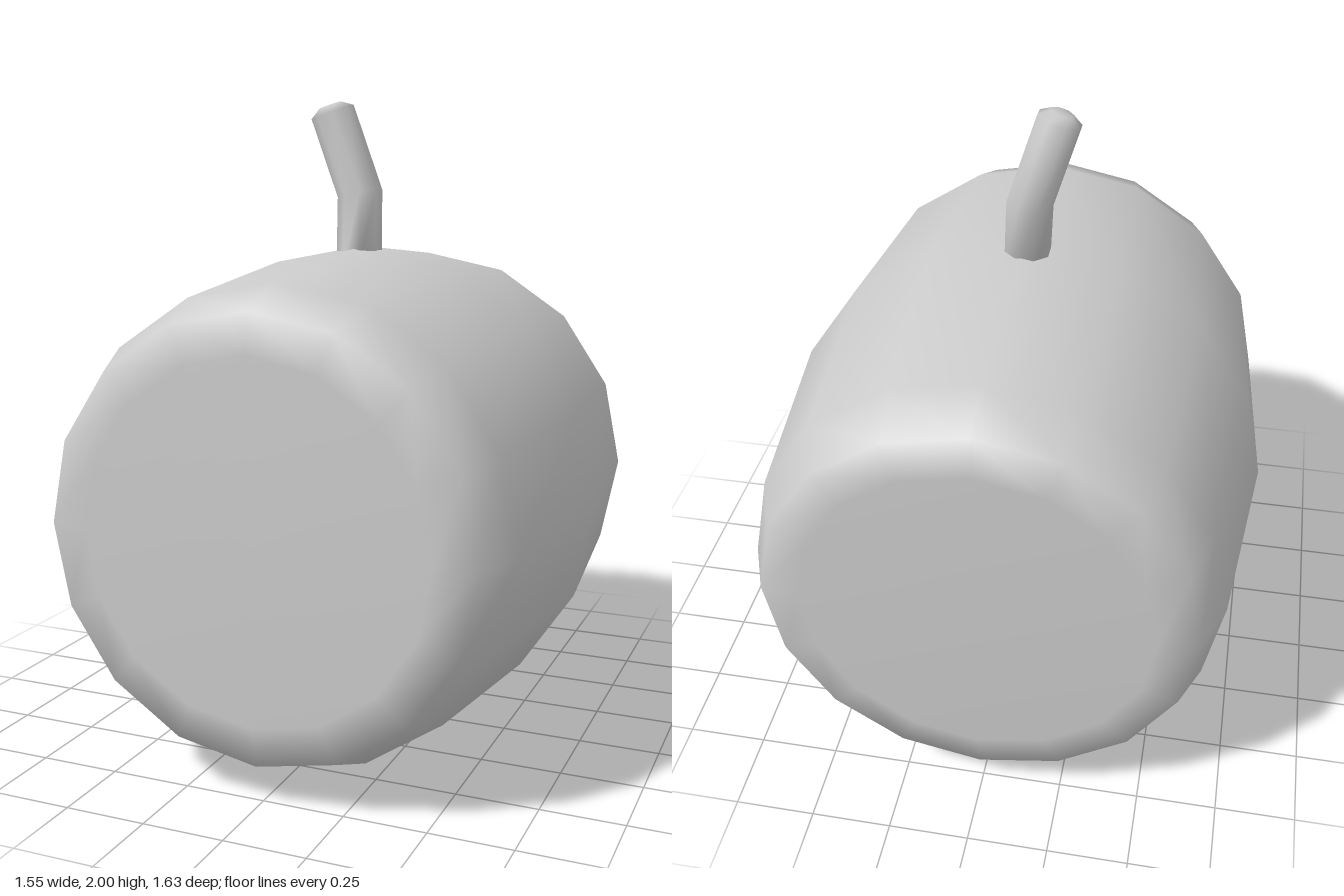
import * as THREE from 'three';

const material = () => new THREE.MeshStandardMaterial({ color: 0xcccccc });

// Tube of rings [x, y, z, radius, tilt direction], closed at both ends
function ringTube(rings, sides) {
  const pos = [], index = [];
  const up = new THREE.Vector3(0, 1, 0);
  const q = new THREE.Quaternion(), v = new THREE.Vector3();
  rings.forEach(({ at, r, dir }) => {
    q.setFromUnitVectors(up, new THREE.Vector3(...dir).normalize());
    for (let i = 0; i < sides; i++) {
      const a = ((i + 0.5) / sides) * Math.PI * 2;
      v.set(Math.sin(a) * r, 0, Math.cos(a) * r).applyQuaternion(q);
      pos.push(at[0] + v.x, at[1] + v.y, at[2] + v.z);
    }
  });
  for (let k = 0; k < rings.length - 1; k++) {
    for (let i = 0; i < sides; i++) {
      const a = k * sides + i, b = k * sides + ((i + 1) % sides);
      index.push(a, b, b + sides, a, b + sides, a + sides);
    }
  }
  // end caps
  const last = (rings.length - 1) * sides;
  for (let i = 1; i < sides - 1; i++) {
    index.push(0, i + 1, i);
    index.push(last, last + i, last + i + 1);
  }
  const g = new THREE.BufferGeometry();
  g.setAttribute('position', new THREE.Float32BufferAttribute(pos, 3));
  g.setIndex(index);
  g.computeVertexNormals();
  return g;
}

export function createModel() {
  const group = new THREE.Group();

  // Barrel-shaped body lying along z, 16 sides with a vertex at the top
  const half = [[0, 0.813], [0.53, 0.813], [0.65, 0.795], [0.713, 0.64]];
  const profile = [
    ...half.map(([r, h]) => new THREE.Vector2(r, -h)),
    new THREE.Vector2(0.775, 0),
    ...half.slice().reverse().map(([r, h]) => new THREE.Vector2(r, h)),
  ];
  const bodyGeometry = new THREE.LatheGeometry(profile, 16);
  bodyGeometry.rotateX(Math.PI / 2);
  const body = new THREE.Mesh(bodyGeometry, material());
  body.name = 'body';
  body.position.y = 0.777;
  group.add(body);

  // Bent stem with a slightly rounded tip
  const tip = [-0.08, 0.26, 0.035];
  const stem = new THREE.Mesh(ringTube([
    { at: [-0.005, 1.48, 0.012], r: 0.072, dir: [-0.02, 0.2, -0.04] },
    { at: [-0.021, 1.715, -0.035], r: 0.072, dir: [-0.2, 1, -0.04] },
    { at: [-0.1, 1.968, 0], r: 0.07, dir: tip },
    { at: [-0.107, 1.99, 0.003], r: 0.035, dir: tip },
  ], 8), material());
  stem.name = 'stem';
  group.add(stem);

  return group;
}
